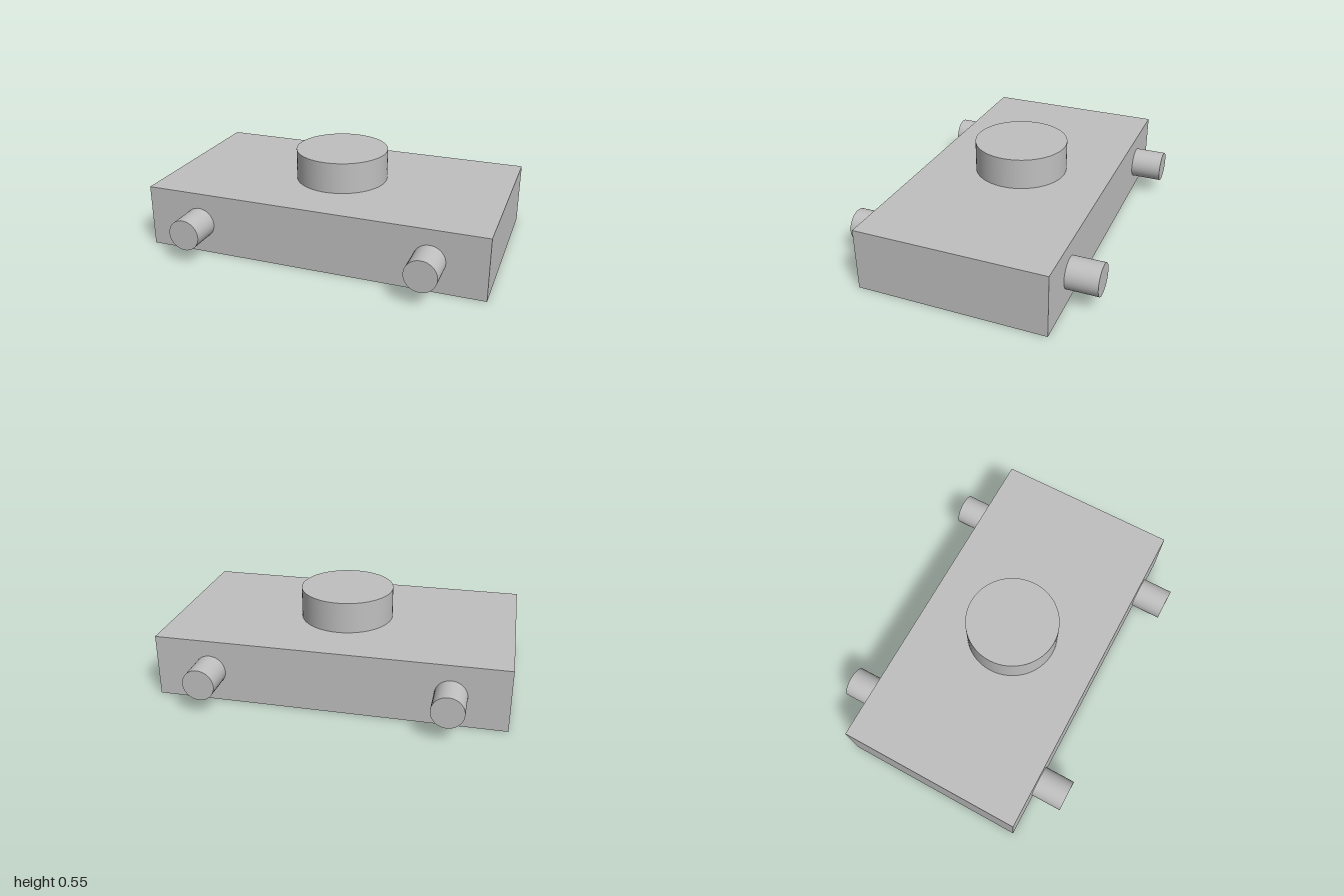
import * as THREE from 'three';

const U = 1 / 11; // design unit: the body is 22 units long

export function createModel() {
  const model = new THREE.Group();
  const grey = new THREE.MeshStandardMaterial({ color: 0xc0c0c0 });
  grey.name = 'plain grey';

  const add = (name, geometry, x, y, z) => {
    const mesh = new THREE.Mesh(geometry, grey);
    mesh.name = name;
    mesh.position.set(x * U, y * U, z * U);
    model.add(mesh);
    return mesh;
  };

  // Flat rectangular body
  add('body', new THREE.BoxGeometry(22 * U, 4 * U, 12 * U), 0, 2, 0);

  // Round boss on top
  add('topBoss', new THREE.CylinderGeometry(3 * U, 3 * U, 2 * U, 64), 0, 5, 0);

  // Four axle pegs, two on the front and two on the back
  const pegGeometry = new THREE.CylinderGeometry(U, U, 2 * U, 48).rotateX(Math.PI / 2);
  for (const [end, z] of [['front', 7], ['back', -7]]) {
    for (const [side, x] of [['Left', 7.5], ['Right', -7.5]]) {
      add(`${end}${side}Peg`, pegGeometry, x, 2, z);
    }
  }

  return model;
}
